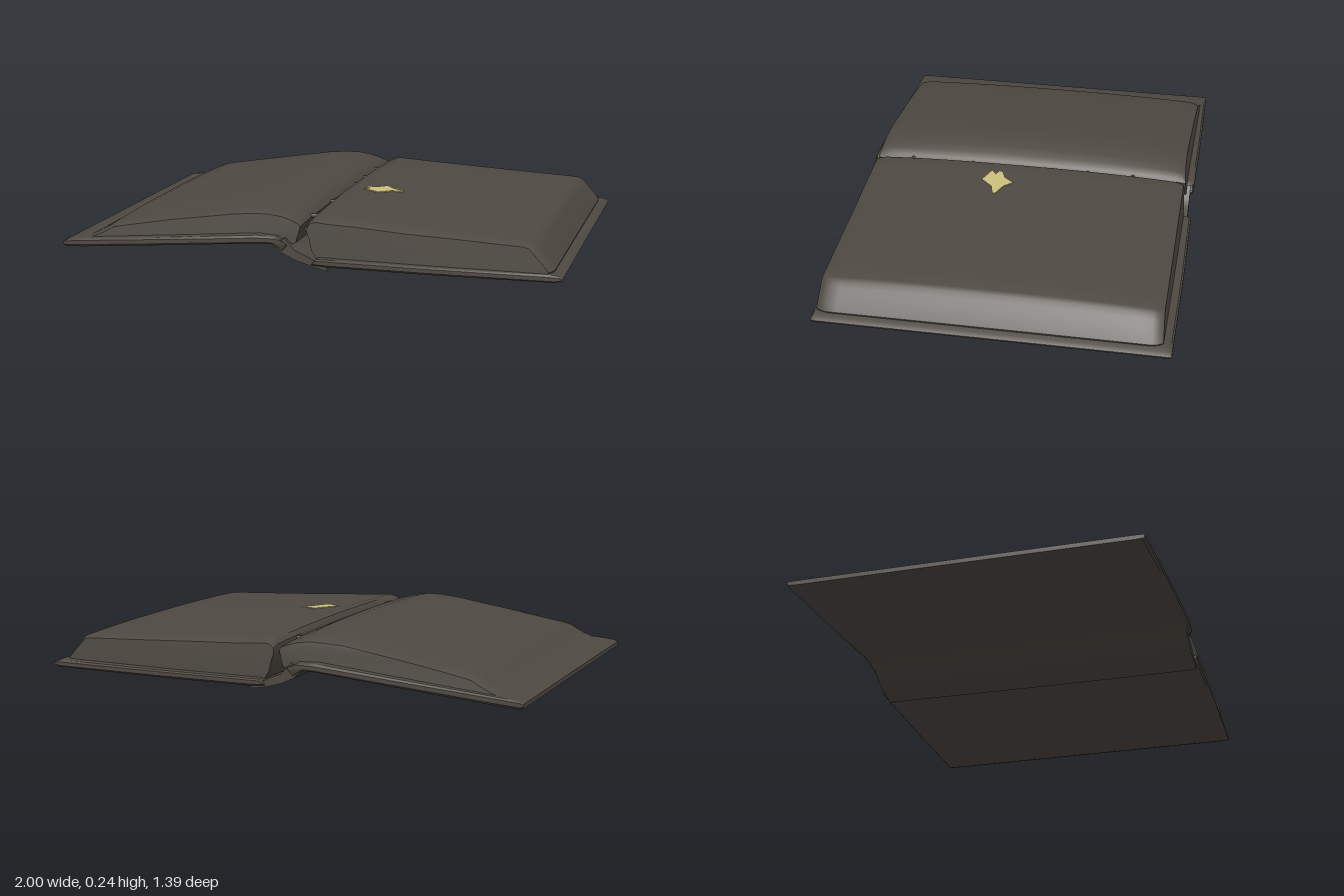
import * as THREE from 'three';
import { toCreasedNormals } from 'three/addons/utils/BufferGeometryUtils.js';

// Sweeps a counter-clockwise xy profile along z; deform(x, y, z) shapes each vertex.
function loft(profile, zs, deform = (x, y, z) => [x, y, z], crease = 0.6) {
  const n = profile.length, pos = [], idx = [];
  for (const z of zs) for (const [x, y] of profile) pos.push(...deform(x, y, z));
  for (let i = 0; i < zs.length - 1; i++) {
    for (let j = 0; j < n; j++) {
      const a = i * n + j, b = i * n + (j + 1) % n;
      idx.push(a, b, b + n, a, b + n, a + n);
    }
  }
  const flat = profile.map(([x, y]) => new THREE.Vector2(x, y));
  const last = (zs.length - 1) * n;
  for (const [a, b, c] of THREE.ShapeUtils.triangulateShape(flat, [])) {
    idx.push(last + a, last + b, last + c, a, c, b);
  }
  const g = new THREE.BufferGeometry();
  g.setAttribute('position', new THREE.Float32BufferAttribute(pos, 3));
  g.setIndex(idx);
  return toCreasedNormals(g, crease);
}

const stations = (half, count) =>
  Array.from({ length: count + 1 }, (_, i) => -half + (2 * half * i) / count);

export function createModel() {
  const book = new THREE.Group();
  book.name = 'openBook';
  const leather = new THREE.MeshStandardMaterial({ color: 0x4e4942 });
  leather.name = 'dark worn paper';
  const gold = new THREE.MeshStandardMaterial({ color: 0xcabd7c });
  gold.name = 'pale gold';
  const add = (name, geometry, material = leather) => {
    const m = new THREE.Mesh(geometry, material);
    m.name = name;
    book.add(m);
    return m;
  };

  // Covers, with softened long edges and tapering outer corners
  const coverZ = [-0.69, -0.683, -0.66, -0.3, 0, 0.3, 0.66, 0.683, 0.69];
  const soften = (mid, shift) => (x, y, z) => {
    const pinch = Math.abs(z) > 0.685 ? 0.45 : Math.abs(z) > 0.67 ? 0.85 : 1;
    const m = mid(x);
    return [x, m + (y - m) * pinch, z * (1 - 0.02 * Math.max(0, Math.abs(x) - 0.5)) + shift * Math.abs(x)];
  };
  add('rightCover', loft(
    [[0.04, 0.022], [0.1, 0.016], [0.5, 0.016], [0.97, 0.02], [0.995, 0.028], [1, 0.038],
      [0.985, 0.05], [0.95, 0.054], [0.5, 0.05], [0.06, 0.05]],
    coverZ, soften(() => 0.035, -0.012)));
  add('leftCover', loft(
    [[-1, 0.028], [-0.985, 0.02], [-0.9, 0.026], [-0.5, 0.062], [-0.18, 0.092], [-0.12, 0.092],
      [-0.08, 0.066], [-0.06, 0.09], [-0.1, 0.125], [-0.18, 0.13], [-0.5, 0.1], [-0.92, 0.062],
      [-0.985, 0.054], [-1, 0.046]],
    coverZ, soften((x) => 0.04 + (x + 1) * 0.08, 0.004)));

  // Loose spine strip sloping down beneath the gutter
  add('spine', loft(
    [[-0.12, 0.092], [-0.08, 0.06], [-0.03, 0.036], [0.04, 0.016], [0.1, 0.004], [0.1, 0.016],
      [0.05, 0.04], [0.01, 0.058], [-0.03, 0.075], [-0.07, 0.12]],
    stations(0.675, 12),
    (x, y, z) => [x, y - (x > 0.08 ? 0.004 * Math.cos((z - 0.4) * 2) : 0), z]));

  // Page blocks: sagging toward both ends, leaning in above the cover, with worn edges
  const blockZ = [-0.66, -0.645, -0.62, ...stations(0.58, 28), 0.62, 0.645, 0.66];
  const pageShape = (base, sag, taper) => (x, y, z) => {
    const t = Math.max(0, y - base(x)) / 0.15;
    const e = Math.abs(z) / 0.66;
    const end = Math.max(0, (e - 0.93) / 0.07);
    const wear = 0.004 * Math.sin(x * 31 + z * 9) * Math.sin(x * 13 + 2) * end * t;
    return [
      x * (1 - (Math.abs(x) > 0.6 ? 0.02 * end * end : 0)),
      y - t * (sag * e ** 2.5 + 0.012 * end * end) + wear,
      z * (1 - taper * t),
    ];
  };
  add('leftPages', loft(
    [[-0.93, 0.055], [-0.5, 0.095], [-0.18, 0.125], [-0.1, 0.122], [-0.05, 0.095], [-0.03, 0.1],
      [-0.02, 0.14], [-0.012, 0.175], [-0.02, 0.19], [-0.05, 0.21], [-0.09, 0.226], [-0.14, 0.235],
      [-0.2, 0.236], [-0.28, 0.228], [-0.4, 0.207], [-0.55, 0.18], [-0.7, 0.153], [-0.78, 0.138],
      [-0.81, 0.128], [-0.83, 0.112], [-0.87, 0.087]],
    blockZ, pageShape((x) => 0.138 + x * 0.09, 0.032, 0.025)));
  add('rightPages', loft(
    [[0.05, 0.045], [0.5, 0.045], [0.96, 0.045], [0.965, 0.06], [0.945, 0.09], [0.925, 0.115],
      [0.905, 0.14], [0.89, 0.158], [0.87, 0.166], [0.8, 0.171], [0.6, 0.181], [0.4, 0.192],
      [0.2, 0.204], [0.1, 0.21], [0.05, 0.213], [0.028, 0.207], [0.014, 0.19], [0.012, 0.17],
      [0.025, 0.12], [0.032, 0.08]],
    blockZ, pageShape(() => 0.05, 0.016, 0.012)));

  // Binding stitches bridging the gutter, and the cord below them
  for (const z of [-0.44, -0.25, -0.1, 0.05, 0.24, 0.5]) {
    const stitch = add('stitch', new THREE.CylinderGeometry(0.008, 0.008, 0.05, 8));
    stitch.rotation.set(0, 0.25, Math.PI / 2);
    stitch.position.set(0, 0.174, z);
  }
  const cord = add('bindingCord', new THREE.CylinderGeometry(0.011, 0.011, 1.22, 8));
  cord.rotation.x = Math.PI / 2;
  cord.position.set(0, 0.145, 0);

  // Small gold blot lying on the right page
  const outline = [[0.17, 0.04], [0.2, 0.075], [0.255, 0.1], [0.255, 0.113], [0.21, 0.122],
    [0.165, 0.172], [0.095, 0.142], [0.12, 0.122], [0.095, 0.11], [0.1, 0.095], [0.14, 0.08]];
  const blot = new THREE.ExtrudeGeometry(
    new THREE.Shape(outline.map(([x, z]) => new THREE.Vector2(x, -z))),
    { depth: 0.005, bevelEnabled: false });
  blot.rotateX(-Math.PI / 2);
  const p = blot.attributes.position;
  for (let i = 0; i < p.count; i++) p.setY(i, p.getY(i) + 0.2145 - 0.06 * p.getX(i));
  blot.computeVertexNormals();
  add('goldBlot', blot, gold);

  return book;
}
